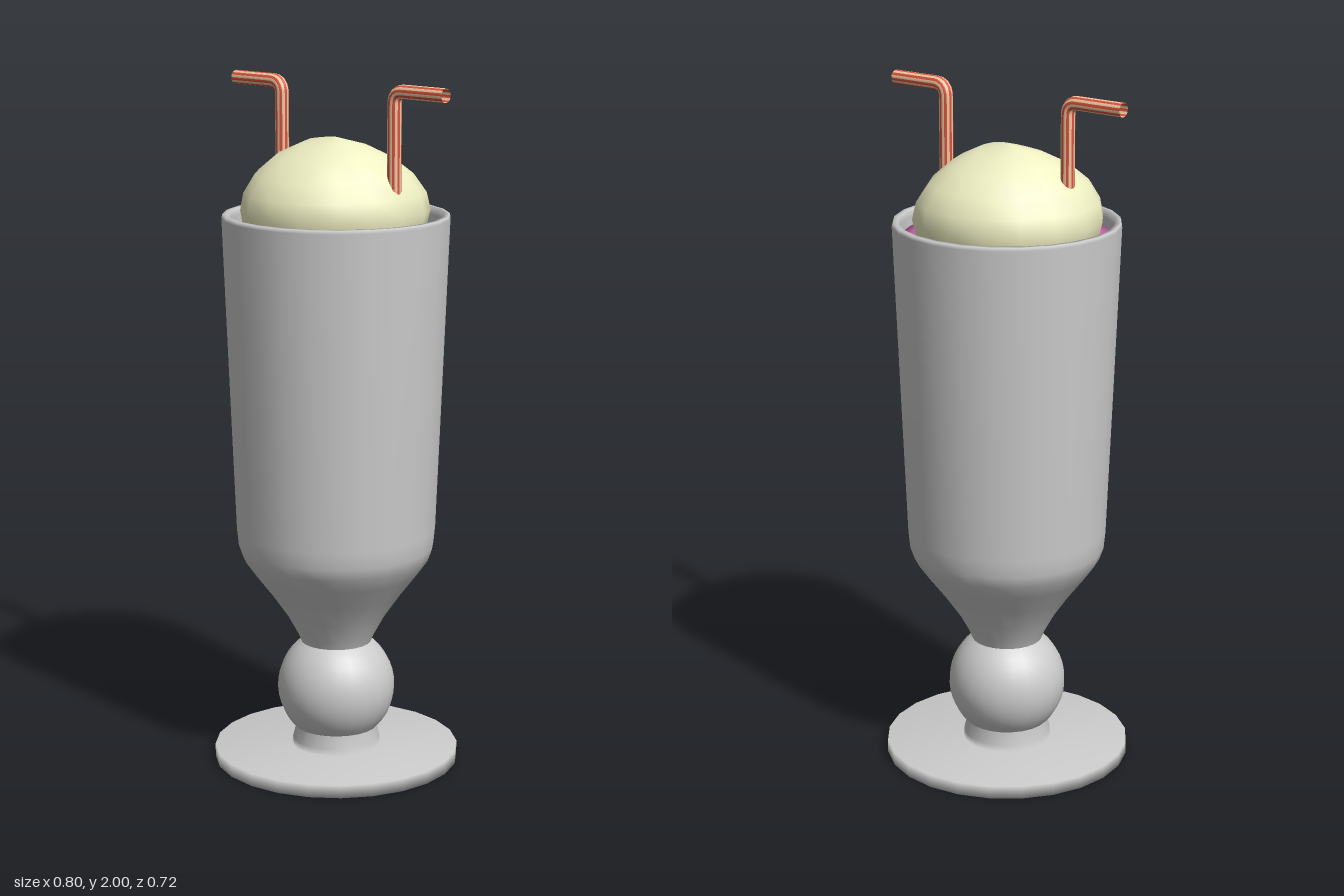
import * as THREE from 'three';

const V = (x, y) => new THREE.Vector2(x, y);
const mat = (color) => new THREE.MeshStandardMaterial({ color, side: THREE.DoubleSide });

// Smooth turned part from [radius, height] pairs, listed from the bottom up on the outside
function turned(name, points, segments, color) {
  const geometry = new THREE.LatheGeometry(points.map(([r, y]) => V(r, y)), segments);
  const mesh = new THREE.Mesh(geometry, mat(color));
  mesh.name = name;
  return mesh;
}

// Bent straw with lengthwise stripes: the tube's faces are split by their place around it
function straw(side) {
  const group = new THREE.Group();
  group.name = side > 0 ? 'leftStraw' : 'rightStraw';
  const P = (x, y) => new THREE.Vector3(side * x, y, 0);
  const path = new THREE.CurvePath();
  path.add(new THREE.LineCurve3(P(0.215, 1.45), P(0.215, 1.945)));
  path.add(new THREE.QuadraticBezierCurve3(P(0.215, 1.945), P(0.215, 1.98), P(0.25, 1.98)));
  path.add(new THREE.LineCurve3(P(0.25, 1.98), P(0.4, 1.98)));
  const around = 16;
  const tube = new THREE.TubeGeometry(path, 60, 0.02, around);
  const index = Array.from(tube.index.array);
  [['redStripes', 0xd9543f], ['creamStripes', 0xf3c9a0]].forEach(([name, color], k) => {
    const stripes = tube.clone();
    stripes.setIndex(index.filter((_, n) => (Math.floor(n / 6) % around) % 2 === k));
    const mesh = new THREE.Mesh(stripes, mat(color));
    mesh.name = name;
    group.add(mesh);
  });
  return group;
}

// Scoop: a dome whose surface is gently pushed in and out
function scoop() {
  const dome = turned('iceCream', [
    [0.2, 1.5], [0.255, 1.56], [0.27, 1.63], [0.26, 1.68], [0.225, 1.735],
    [0.165, 1.785], [0.09, 1.82], [0, 1.838],
  ], 16, 0xf0f0c4);
  const pos = dome.geometry.attributes.position;
  for (let i = 0; i < pos.count; i++) {
    const x = pos.getX(i), y = pos.getY(i), z = pos.getZ(i);
    const r = Math.hypot(x, z), a = Math.atan2(z, x);
    const bump = 1 + 0.015 * Math.sin(3 * a + y * 14) * Math.min(1, r / 0.1);
    const lift = 0.008 * Math.sin(2 * a + 1) * Math.sin(r * 11);
    pos.setXYZ(i, x * bump - 0.012, y + lift, z * bump);
  }
  dome.geometry.computeVertexNormals();
  // Match the normals along the seam
  const nor = dome.geometry.attributes.normal;
  const rows = 8, last = 16 * rows;
  for (let j = 0; j < rows; j++) {
    const n = new THREE.Vector3().fromBufferAttribute(nor, j);
    n.add(new THREE.Vector3().fromBufferAttribute(nor, last + j)).normalize();
    nor.setXYZ(j, n.x, n.y, n.z);
    nor.setXYZ(last + j, n.x, n.y, n.z);
  }
  return dome;
}

export function createModel() {
  const model = new THREE.Group();
  model.name = 'milkshake';

  // Foot, short neck and hollow underside
  const foot = turned('foot', [
    [0, 0.14], [0.07, 0.12], [0.115, 0.08], [0.125, 0],
    [0.358, 0], [0.358, 0.038], [0.13, 0.04], [0.128, 0.06], [0.118, 0.1], [0.122, 0.12],
  ], 24, 0xcccccc);

  // Ball of the stem, cut off where it meets the neck and the bowl
  const ball = [];
  for (let i = 0; i <= 12; i++) {
    const a = THREE.MathUtils.lerp(-0.78, 1.0, i / 12);
    ball.push([0.172 * Math.cos(a), 0.22 + 0.172 * Math.sin(a)]);
  }
  const stem = turned('stemBall', ball, 24, 0xcccccc);

  // Bowl: flared outside, rim, then the inner wall down to its floor
  const bowl = turned('bowl', [
    [0.1, 0.35], [0.112, 0.38], [0.145, 0.44], [0.19, 0.505], [0.24, 0.57], [0.272, 0.615],
    [0.284, 0.65], [0.289, 0.7], [0.307, 1.15], [0.325, 1.61], [0.322, 1.62],
    [0.308, 1.62], [0.304, 1.6], [0.27, 0.7], [0.255, 0.63], [0.1, 0.42], [0, 0.4],
  ], 24, 0xcccccc);

  // Drink filling the bowl
  const drink = turned('drink', [
    [0, 0.41], [0.095, 0.425], [0.25, 0.635], [0.266, 0.7], [0.3, 1.575], [0.25, 1.585], [0, 1.585],
  ], 24, 0xe070c0);

  const glass = new THREE.Group();
  glass.name = 'glass';
  glass.add(foot, stem, bowl);
  glass.position.x = drink.position.x = -0.004;

  model.add(glass, drink, scoop(), straw(1), straw(-1));
  return model;
}
